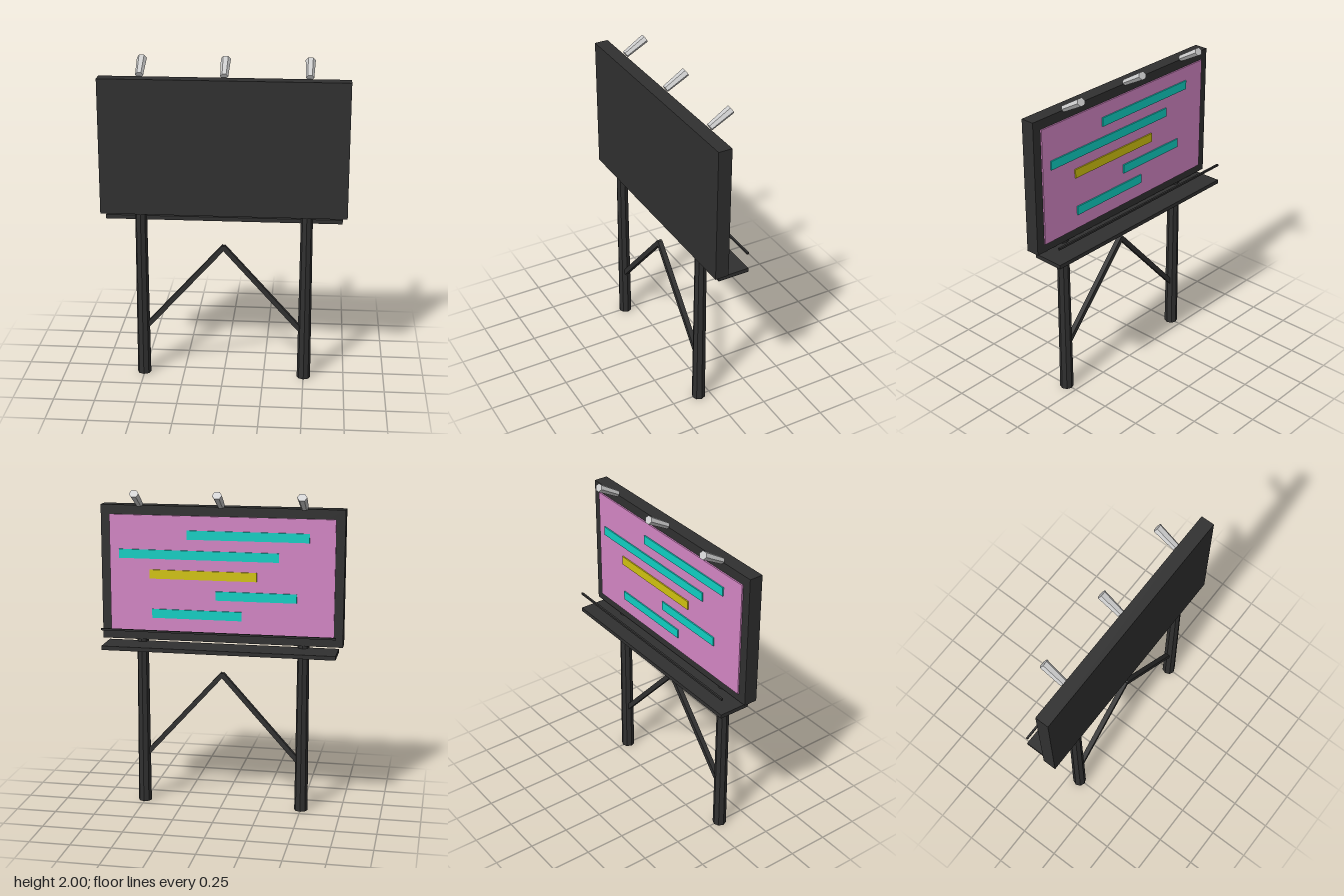
import * as THREE from 'three';

export function createModel() {
  const model = new THREE.Group();
  model.name = 'billboard';

  const paint = (name, color, flatShading = false) => {
    const m = new THREE.MeshStandardMaterial({ color });
    m.name = name;
    m.flatShading = flatShading;
    return m;
  };
  const darkSteel = paint('darkSteel', 0x303030, true);
  const pink = paint('posterPink', 0xd486c5);
  const teal = paint('stripeTeal', 0x10d0c4);
  const yellow = paint('stripeYellow', 0xd2c410);
  const lampGrey = paint('lampGrey', 0xcccccc, true);

  const add = (name, geometry, material, x, y, z) => {
    const mesh = new THREE.Mesh(geometry, material);
    mesh.name = name;
    mesh.position.set(x, y, z);
    model.add(mesh);
    return mesh;
  };
  const box = (name, w, h, d, material, x, y, z) =>
    add(name, new THREE.BoxGeometry(w, h, d), material, x, y, z);

  // Board, walkway below it and the thin rail along the walkway's edge
  box('board', 1.49, 0.83, 0.085, darkSteel, 0, 1.48, 0.0755);
  box('walkway', 1.434, 0.025, 0.197, darkSteel, 0, 1.034, -0.018);
  box('rail', 1.434, 0.012, 0.012, darkSteel, 0, 1.151, -0.11);

  // Poster on the rear face
  box('poster', 1.38, 0.72, 0.009, pink, 0, 1.477, 0.0285);

  // Poster stripes: [x from, x to, centre y, material]
  const stripes = [
    [-0.536, 0.208, 1.723, teal],
    [-0.354, 0.63, 1.6, teal],
    [-0.22, 0.44, 1.478, yellow],
    [-0.464, 0.03, 1.356, teal],
    [-0.128, 0.427, 1.234, teal],
  ];
  for (const [x0, x1, y, material] of stripes) {
    box('posterStripe', x1 - x0, 0.055, 0.009, material, (x0 + x1) / 2, y, 0.0205);
  }

  for (const side of [-1, 1]) {
    // Tapered post
    add('post', new THREE.CylinderGeometry(0.036, 0.042, 1.07, 8), darkSteel, side * 0.502, 0.535, 0.075);

    // Diagonal brace rising from the post to the middle
    const from = new THREE.Vector2(side * 0.5, 0.295);
    const to = new THREE.Vector2(0, 0.853);
    const run = to.clone().sub(from);
    const brace = box('brace', run.length() + 0.01, 0.03, 0.03, darkSteel,
      from.x / 2, (from.y + to.y) / 2, 0.075);
    brace.rotation.z = Math.atan2(run.y, run.x);
  }

  // Six-sided lamps tilted over the top edge
  for (const x of [-0.502, 0, 0.502]) {
    const geometry = new THREE.CylinderGeometry(0.03, 0.024, 0.152, 6);
    geometry.rotateY(Math.PI / 2);
    geometry.scale(1, 1, 0.85);
    const lamp = add('lamp', geometry, lampGrey, x, 1.941, -0.034);
    lamp.rotation.x = -Math.PI / 3;
  }

  return model;
}
